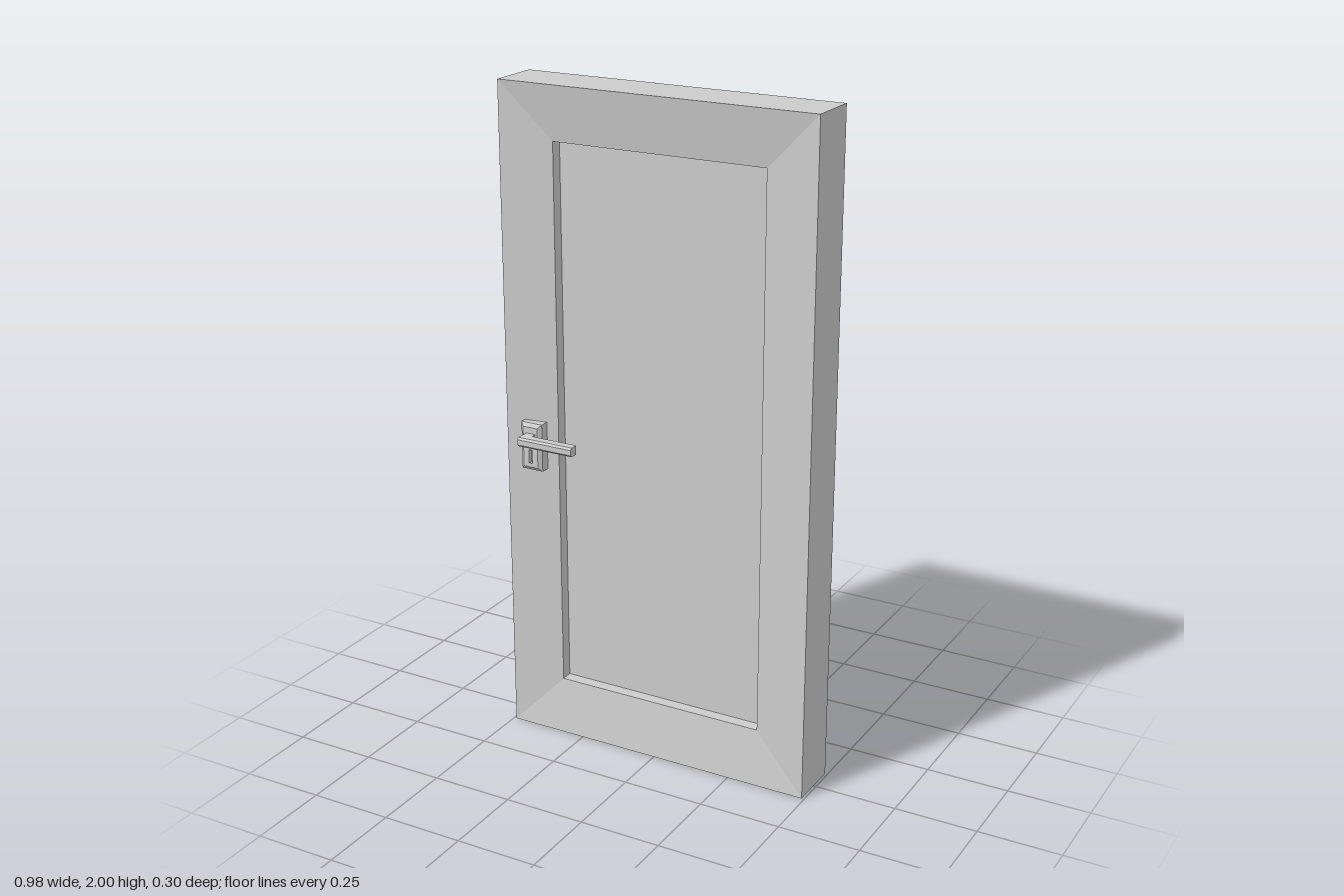
import * as THREE from 'three';

const material = new THREE.MeshStandardMaterial({ color: 0xcccccc, flatShading: true });

function addMesh(parent, name, geometry) {
  const mesh = new THREE.Mesh(geometry, material);
  mesh.name = name;
  parent.add(mesh);
  return mesh;
}

// Skin a series of rectangles [halfWidth, halfHeight, z, yShift], closing the last one.
function rectLoft(sections, cx, cy) {
  const rings = sections.map(([w, h, z, dy = 0]) =>
    [[-1, -1], [1, -1], [1, 1], [-1, 1]].map(([sx, sy]) => [cx + sx * w, cy + dy + sy * h, z]));
  const points = [];
  const quad = (a, b, c, d) => points.push(...a, ...b, ...c, ...a, ...c, ...d);
  for (let i = 0; i < rings.length - 1; i++) {
    for (let j = 0; j < 4; j++) {
      const k = (j + 1) % 4;
      quad(rings[i][j], rings[i][k], rings[i + 1][k], rings[i + 1][j]);
    }
  }
  quad(...rings[rings.length - 1]);
  const geometry = new THREE.BufferGeometry();
  geometry.setAttribute('position', new THREE.Float32BufferAttribute(points, 3));
  geometry.computeVertexNormals();
  return geometry;
}

// Handle set; dir is the x direction the lever points in.
function createHandle(dir) {
  const handle = new THREE.Group();
  handle.name = 'handle';
  const x = -dir * 0.4;

  // Bevelled back plate with a sunken keyhole
  addMesh(handle, 'handlePlate', rectLoft([
    [0.035, 0.073, 0.05],
    [0.035, 0.073, 0.09],
    [0.024, 0.062, 0.099],
    [0.006, 0.021, 0.099, -0.029],
    [0.006, 0.021, 0.085, -0.029],
  ], x - dir * 0.002, 0.93));

  // Square spindle
  addMesh(handle, 'spindle', new THREE.BoxGeometry(0.03, 0.026, 0.036))
    .position.set(x, 0.96, 0.108);

  // Lever with chamfered outer edges
  const zIn = 0.118, zOut = 0.148, half = 0.014, chamfer = 0.006;
  const profile = new THREE.Shape([
    [-zIn, -half], [-zIn, half], [-zOut + chamfer, half],
    [-zOut, half - chamfer], [-zOut, -half + chamfer], [-zOut + chamfer, -half],
  ].map(([a, b]) => new THREE.Vector2(a, b)));
  const length = 0.182;
  const lever = new THREE.ExtrudeGeometry(profile, { depth: length, bevelEnabled: false });
  lever.translate(0, 0, -length / 2);
  lever.rotateY(Math.PI / 2);
  addMesh(handle, 'lever', lever).position.set(x + dir * (length / 2 - 0.015), 0.96, 0);
  return handle;
}

// One half of the door: outer edge, sloping mitred frame, step and sunken panel.
function createSide(name, dir) {
  const side = new THREE.Group();
  side.name = name;
  addMesh(side, 'doorLeaf', rectLoft([
    [0.492, 1, 0],
    [0.492, 1, 0.081],
    [0.331, 0.834, 0.056, 0.003],
    [0.331, 0.834, 0.02, 0.003],
  ], 0, 1));
  side.add(createHandle(dir));
  return side;
}

export function createModel() {
  const door = new THREE.Group();
  door.name = 'door';
  door.add(createSide('frontSide', 1));
  const back = createSide('backSide', -1);
  back.rotation.y = Math.PI;
  door.add(back);
  return door;
}
